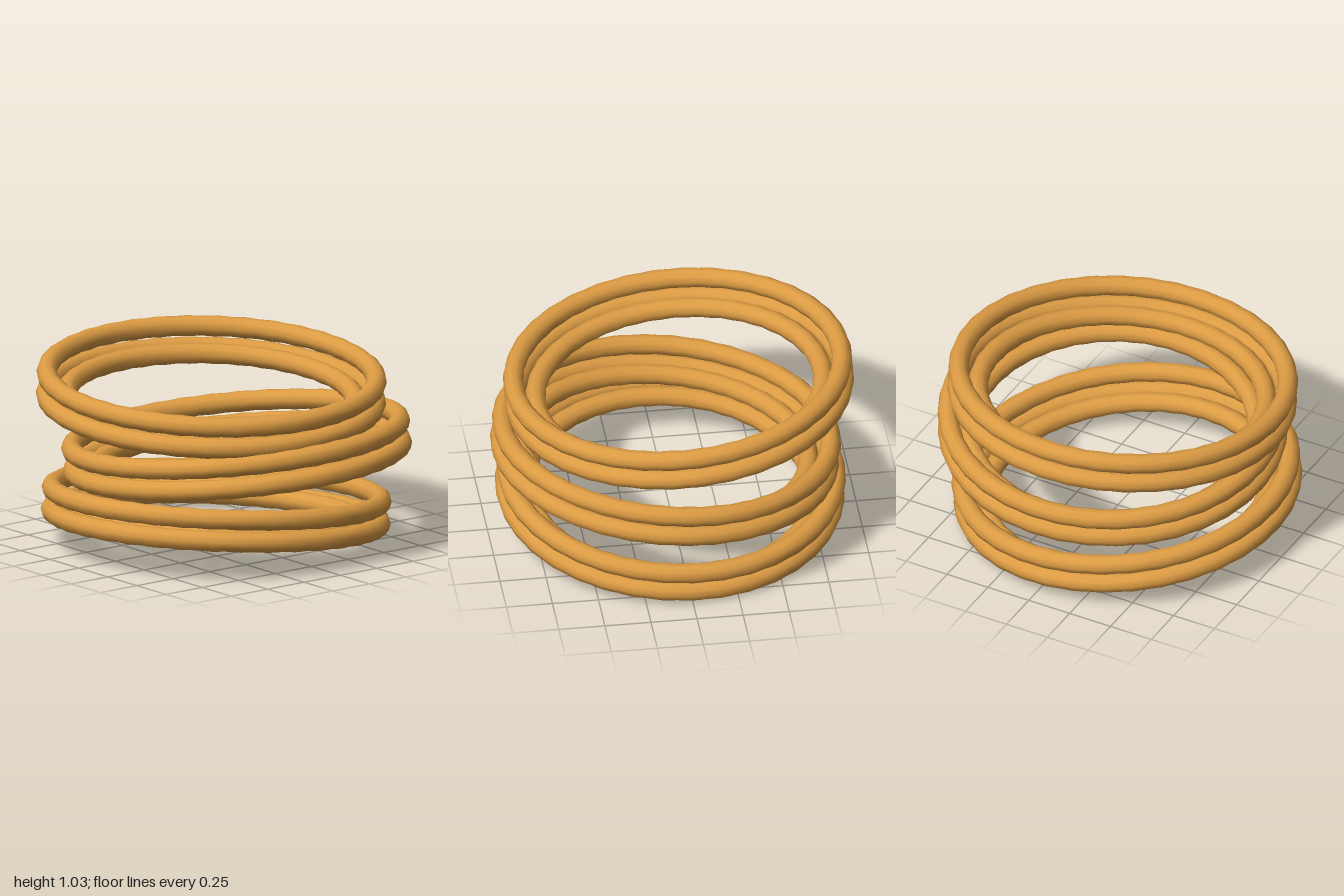
import * as THREE from 'three';

const RIPPLES = 36;
const TUBE = 0.055;

// Ring lying flat, with a softly hammered tube
function ringGeometry(radius) {
  const g = new THREE.TorusGeometry(radius, TUBE, 10, RIPPLES * 4);
  const p = g.attributes.position;
  const centre = new THREE.Vector3();
  const v = new THREE.Vector3();
  for (let i = 0; i < p.count; i++) {
    v.fromBufferAttribute(p, i);
    const angle = Math.atan2(v.y, v.x);
    centre.set(Math.cos(angle) * radius, Math.sin(angle) * radius, 0);
    const swell = 1 + 0.035 * Math.cos(angle * RIPPLES);
    v.sub(centre).multiplyScalar(swell).add(centre);
    p.setXYZ(i, v.x, v.y, v.z);
  }
  return g.rotateX(-Math.PI / 2);
}

export function createModel() {
  const model = new THREE.Group();
  model.name = 'stackedBangles';
  const gold = new THREE.MeshStandardMaterial({ color: 0xdd9c44 });
  gold.name = 'gold';

  const outer = ringGeometry(0.885);
  const inner = ringGeometry(0.775);

  // Each bangle: two stacked outer rings and one nested inside the lower ring
  const rings = [
    ['upperRing', outer, 0],
    ['lowerRing', outer, -0.12],
    ['innerRing', inner, -0.12],
  ];

  // Centre of the upper ring, and the slope of its plane along x and z
  const bangles = [
    { name: 'topBangle', at: [-0.04, 0.913, 0.055], slope: [-0.073, -0.02] },
    { name: 'middleBangle', at: [0.035, 0.592, -0.05], slope: [0.09, -0.04] },
    { name: 'bottomBangle', at: [-0.003, 0.268, 0.05], slope: [0.042, 0.09] },
  ];

  const up = new THREE.Vector3(0, 1, 0);
  for (const { name, at, slope } of bangles) {
    const bangle = new THREE.Group();
    bangle.name = name;
    bangle.position.set(...at);
    const normal = new THREE.Vector3(-slope[0], 1, -slope[1]).normalize();
    bangle.quaternion.setFromUnitVectors(up, normal);
    for (const [part, geometry, y] of rings) {
      const mesh = new THREE.Mesh(geometry, gold);
      mesh.name = part;
      mesh.position.y = y;
      bangle.add(mesh);
    }
    model.add(bangle);
  }
  return model;
}
